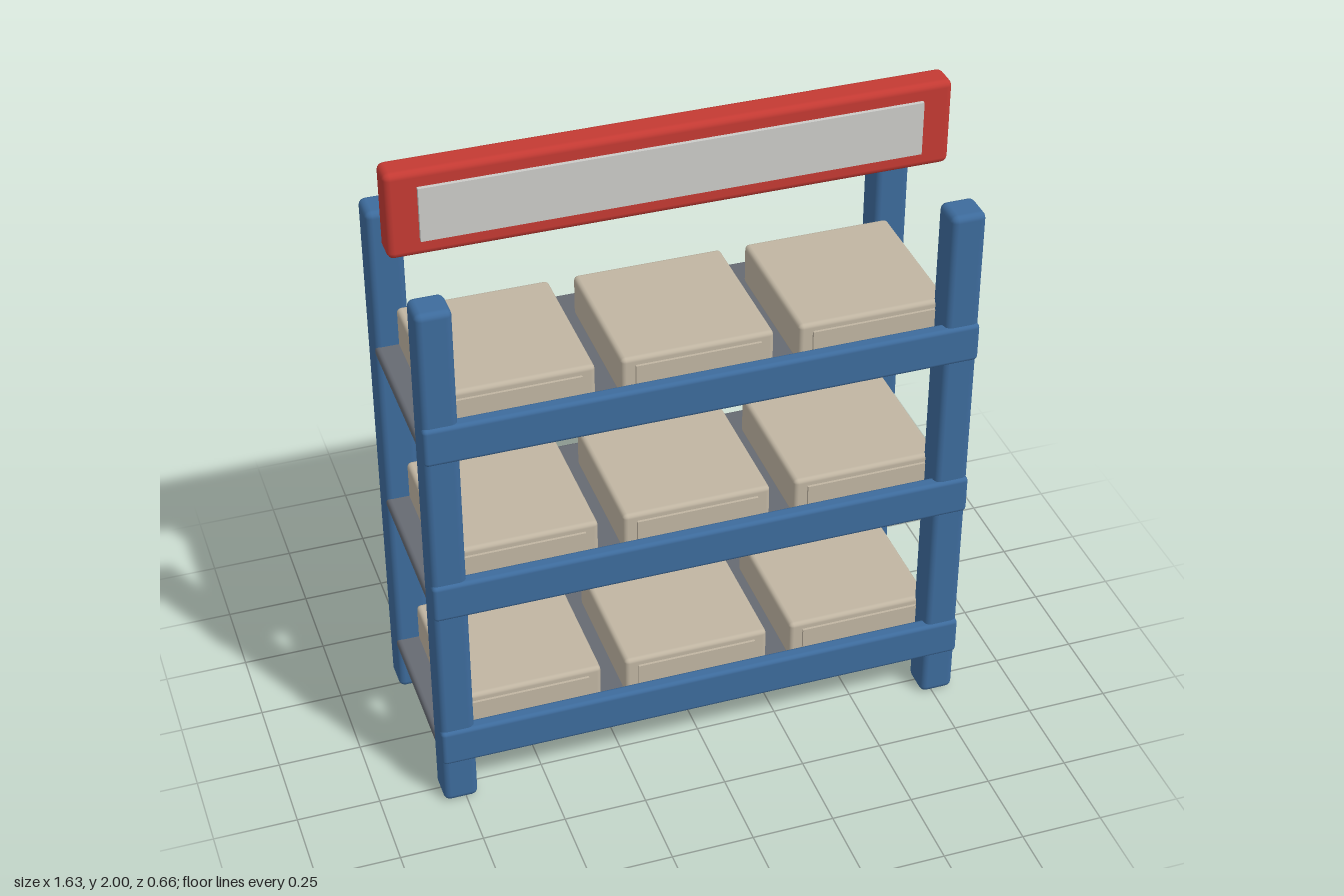
import * as THREE from 'three';
import { RoundedBoxGeometry } from 'three/addons/geometries/RoundedBoxGeometry.js';

const mat = (name, color) => {
  const m = new THREE.MeshStandardMaterial({ color });
  m.name = name;
  return m;
};

export function createModel() {
  const root = new THREE.Group();
  root.name = 'storageRack';
  const blue = mat('blue steel', 0x3d6b9c);
  const red = mat('sign red', 0xc43a33);
  const grey = mat('shelf grey', 0x666a72);
  const tan = mat('carton tan', 0xc0b5a2);
  const pale = mat('panel grey', 0xcbcbc8);

  // Bevelled box given by its min/max extents on each axis
  const block = (name, material, [x0, x1], [y0, y1], [z0, z1], radius, parent = root) => {
    const geo = radius
      ? new RoundedBoxGeometry(x1 - x0, y1 - y0, z1 - z0, 2, radius)
      : new THREE.BoxGeometry(x1 - x0, y1 - y0, z1 - z0);
    const mesh = new THREE.Mesh(geo, material);
    mesh.name = name;
    mesh.position.set((x0 + x1) / 2, (y0 + y1) / 2, (z0 + z1) / 2);
    parent.add(mesh);
    return mesh;
  };

  // Four corner posts
  for (const [side, x0] of [['Right', -0.817], ['Left', 0.713]]) {
    block('frontPost' + side, blue, [x0, x0 + 0.104], [0, 1.73], [0.215, 0.319], 0.02);
    block('backPost' + side, blue, [x0, x0 + 0.104], [0, 1.73], [-0.328, -0.224], 0.02);
  }

  // Three levels: shelf board, front rail and three cartons
  for (const y of [0.155, 0.7, 1.245]) {
    const level = new THREE.Group();
    level.name = 'shelfLevel';
    root.add(level);
    block('shelfBoard', grey, [-0.815, 0.815], [y, y + 0.038], [-0.328, 0.318], 0.013, level);
    block('frontRail', blue, [-0.817, 0.817], [y - 0.003, y + 0.12], [0.284, 0.328], 0.013, level);
    for (const x of [-0.525, 0, 0.525]) {
      block('carton', tan, [x - 0.225, x + 0.225], [y + 0.035, y + 0.167], [-0.223, 0.238], 0.014, level);
      block('cartonFrontPanel', tan, [x - 0.185, x + 0.185], [y + 0.05, y + 0.143], [0.237, 0.246], 0, level);
    }
  }

  // Header sign with its blank face panel
  block('headerSign', red, [-0.817, 0.817], [1.735, 2], [-0.05, 0.04], 0.02);
  block('signPanel', pale, [-0.727, 0.727], [1.787, 1.952], [0.043, 0.052], 0);
  block('signPanelBacking', pale, [-0.727, 0.727], [1.787, 1.952], [0.036, 0.043], 0);
  return root;
}
